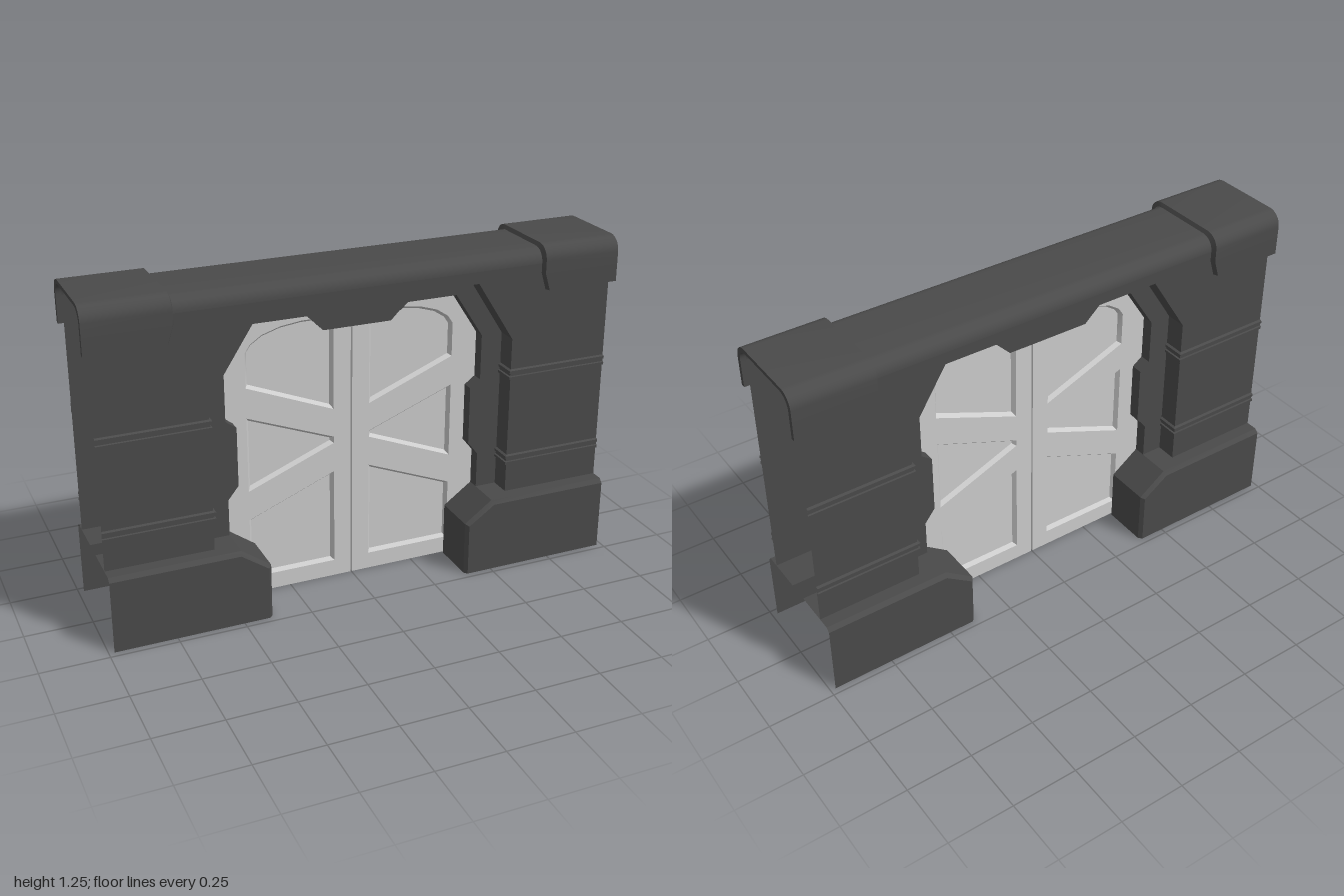
import * as THREE from 'three';
import { toCreasedNormals } from 'three/addons/utils/BufferGeometryUtils.js';

const dark = new THREE.MeshStandardMaterial({ color: 0x4a4a4a, side: THREE.DoubleSide });
const light = new THREE.MeshStandardMaterial({ color: 0xcccccc, side: THREE.DoubleSide });

function addMesh(group, name, geometry, material) {
  const mesh = new THREE.Mesh(toCreasedNormals(geometry, 0.5), material);
  mesh.name = name;
  group.add(mesh);
}

// Skin a list of equally long rows of [x, y, z] points
function skin(rows) {
  const n = rows[0].length, index = [];
  for (let r = 0; r < rows.length - 1; r++) {
    for (let i = 0; i < n - 1; i++) {
      const a = r * n + i, b = a + n;
      index.push(a, a + 1, b, b, a + 1, b + 1);
    }
  }
  const g = new THREE.BufferGeometry();
  g.setAttribute('position', new THREE.Float32BufferAttribute(rows.flat(2), 3));
  g.setIndex(index);
  return g;
}

const atZ = (points, z) => points.map(([x, y]) => [x, y, z]);
const closed = (points) => [...points, points[0]];
const toVectors = (points) => points.map(([x, y]) => new THREE.Vector2(x, y));

// Flat plate facing +z, with optional holes
function plate(points, z, holes = []) {
  const shape = new THREE.Shape(toVectors(points));
  shape.holes = holes.map((h) => new THREE.Path(toVectors(h)));
  return new THREE.ShapeGeometry(shape).translate(0, 0, z);
}

// Shrink a counter-clockwise polygon by d with mitred corners
function inset(points, d) {
  const n = points.length;
  return points.map((p, i) => {
    const a = points[(i + n - 1) % n], b = points[(i + 1) % n];
    const u = new THREE.Vector2(p[0] - a[0], p[1] - a[1]).normalize();
    const v = new THREE.Vector2(b[0] - p[0], b[1] - p[1]).normalize();
    const k = d / (1 + u.dot(v));
    return [p[0] - (u.y + v.y) * k, p[1] + (u.x + v.x) * k];
  });
}

// Rounded roof profile, as [y, z] from front to back
function roofProfile(bottom, top, halfDepth, radius) {
  const points = [[bottom, halfDepth]];
  for (let i = 0; i <= 8; i++) {
    const a = (i / 8) * Math.PI / 2;
    points.push([top - radius + radius * Math.sin(a), halfDepth - radius + radius * Math.cos(a)]);
  }
  return [...points, ...points.slice().reverse().map(([y, z]) => [y, -z])];
}

// Half outlines of the stepped opening, from the base up to the middle
const outer = [[0.583, 0.29], [0.583, 0.91], [0.437, 1.14], [0.19, 1.14], [0.13, 1.085], [0, 1.085]];
const inner = [[0.5, 0.25], [0.5, 0.43], [0.46, 0.48], [0.46, 0.705], [0.5, 0.735], [0.5, 0.91],
  [0.39, 1.08], [0.19, 1.08], [0.13, 1.02], [0, 1.02]];

// One quarter of the wall: front face, left half
function buildWallQuarter() {
  const g = new THREE.Group();
  addMesh(g, 'wallFace', plate([[0.98, 0.29], [0.98, 1.185], [0, 1.185], ...outer.slice().reverse()], 0.165), dark);
  addMesh(g, 'openingReveal', skin([atZ(outer, 0.165), atZ(outer, 0.085)]), dark);
  addMesh(g, 'openingLip', plate([[0.583, 0.25], ...outer, ...inner.slice().reverse()], 0.085), dark);
  addMesh(g, 'innerReveal', skin([atZ(inner, 0.085), atZ(inner, 0.04)]), dark);

  // Grooved bands wrapping round the edge of the opening
  const band = [[0.021, 0], [0.017, 0.009], [0.007, 0.009], [0.005, 0.003],
    [-0.005, 0.003], [-0.007, 0.009], [-0.017, 0.009], [-0.021, 0]];
  for (const y of [0.77, 0.423]) {
    addMesh(g, 'wallBand', skin(band.map(([dy, d]) => [
      [0.98, y + dy, 0.165 + d], [0.583 - d, y + dy, 0.165 + d], [0.583 - d, y + dy, 0.088],
    ])), dark);
  }

  // Base block, open at its end and underneath, with softened front edges
  const foot = [[0.98, 0.29], [0.5, 0.29], [0.39, 0.21], [0.39, 0]];
  const footFront = [[0.98, 0.275], [0.505, 0.275], [0.402, 0.203], [0.402, 0]];
  addMesh(g, 'baseBlockSides', skin([atZ(footFront, 0.226), atZ(foot, 0.212), atZ(foot, 0.04)]), dark);
  addMesh(g, 'baseBlockFace', plate([[0.98, 0], ...footFront], 0.226), dark);
  return g;
}

// Cap over one upper corner, a thin shell with a stepped inner edge
function buildCap() {
  const g = new THREE.Group();
  const wrap = (profile, x, slant) => profile.map(([y, z]) => [x + (y < 1.1 ? slant : 0), y, z]);
  const withHem = (p) => {
    const ends = [[1.085, 0.165], ...p, [1.085, -0.165]];
    ends.splice(2, 0, [1.15, 0.184]);
    ends.splice(ends.length - 2, 0, [1.15, -0.184]);
    return ends;
  };
  const shell = withHem(roofProfile(1.085, 1.253, 0.184, 0.055));
  const under = withHem(roofProfile(1.085, 1.239, 0.167, 0.05)).map(([y, z]) =>
    [y, Math.sign(z) * Math.min(Math.abs(z), 0.167)]);
  addMesh(g, 'cornerCap', skin([
    wrap(under, 0.69, 0.02), wrap(shell, 0.698, 0.02), wrap(shell, 1, 0), wrap(under, 1, 0), wrap(under, 0.97, 0),
  ]), dark);
  return g;
}

// One door leaf with sunken panels on both faces
function buildDoorLeaf() {
  const g = new THREE.Group();
  const leaf = [[0.003, 0], [0.55, 0], [0.55, 0.43], [0.51, 0.48], [0.51, 0.705], [0.55, 0.735],
    [0.55, 0.91], [0.4, 1.14], [0.003, 1.14]];
  const panels = [
    [[0.07, 0.69], [0.405, 0.825], [0.405, 0.955], [0.385, 0.985], [0.34, 1.015], [0.27, 1.037], [0.19, 1.047], [0.07, 1.047]],
    [[0.07, 0.555], [0.405, 0.42], [0.405, 0.71], [0.07, 0.58]],
    [[0.07, 0.065], [0.405, 0.065], [0.405, 0.305], [0.07, 0.44]],
  ];
  addMesh(g, 'doorEdge', skin([atZ(closed(leaf), 0.032), atZ(closed(leaf), -0.032)]), light);
  for (const side of [1, -1]) {
    const face = new THREE.Group();
    face.name = 'doorFace';
    face.scale.z = side;
    addMesh(face, 'doorFrame', plate(leaf, 0.032, panels), light);
    for (const p of panels) {
      const floor = inset(p, 0.011);
      addMesh(face, 'panelBevel', skin([atZ(closed(p), 0.032), atZ(closed(floor), 0.016)]), light);
      addMesh(face, 'panelFloor', plate(floor, 0.016), light);
    }
    g.add(face);
  }

  // Channel closing the wall cavity behind the leaf's outer edge
  const channel = [[0.556, 0], [0.556, 0.43], [0.516, 0.48], [0.516, 0.705], [0.556, 0.735], [0.556, 0.91], [0.435, 1.095]];
  addMesh(g, 'doorChannel', skin([atZ(channel, 0.038), atZ(channel, -0.038)]), dark);
  return g;
}

export function createModel() {
  const model = new THREE.Group();
  model.name = 'doorway';

  for (const sx of [1, -1]) {
    const side = sx > 0 ? 'left' : 'right';
    for (const sz of [1, -1]) {
      const wall = buildWallQuarter();
      wall.name = side + (sz > 0 ? 'FrontWall' : 'BackWall');
      wall.scale.set(sx, 1, sz);
      model.add(wall);
    }
    const cap = buildCap();
    cap.name = side + 'Cap';
    cap.scale.x = sx;
    const door = buildDoorLeaf();
    door.name = side + 'Door';
    door.scale.x = sx;
    model.add(cap, door);
  }

  // Rounded top joining the front and back walls
  const roof = roofProfile(1.185, 1.237, 0.165, 0.052);
  addMesh(model, 'wallTop', skin([-0.98, 0.98].map((x) => roof.map(([y, z]) => [x, y, z]))), dark);
  return model;
}
